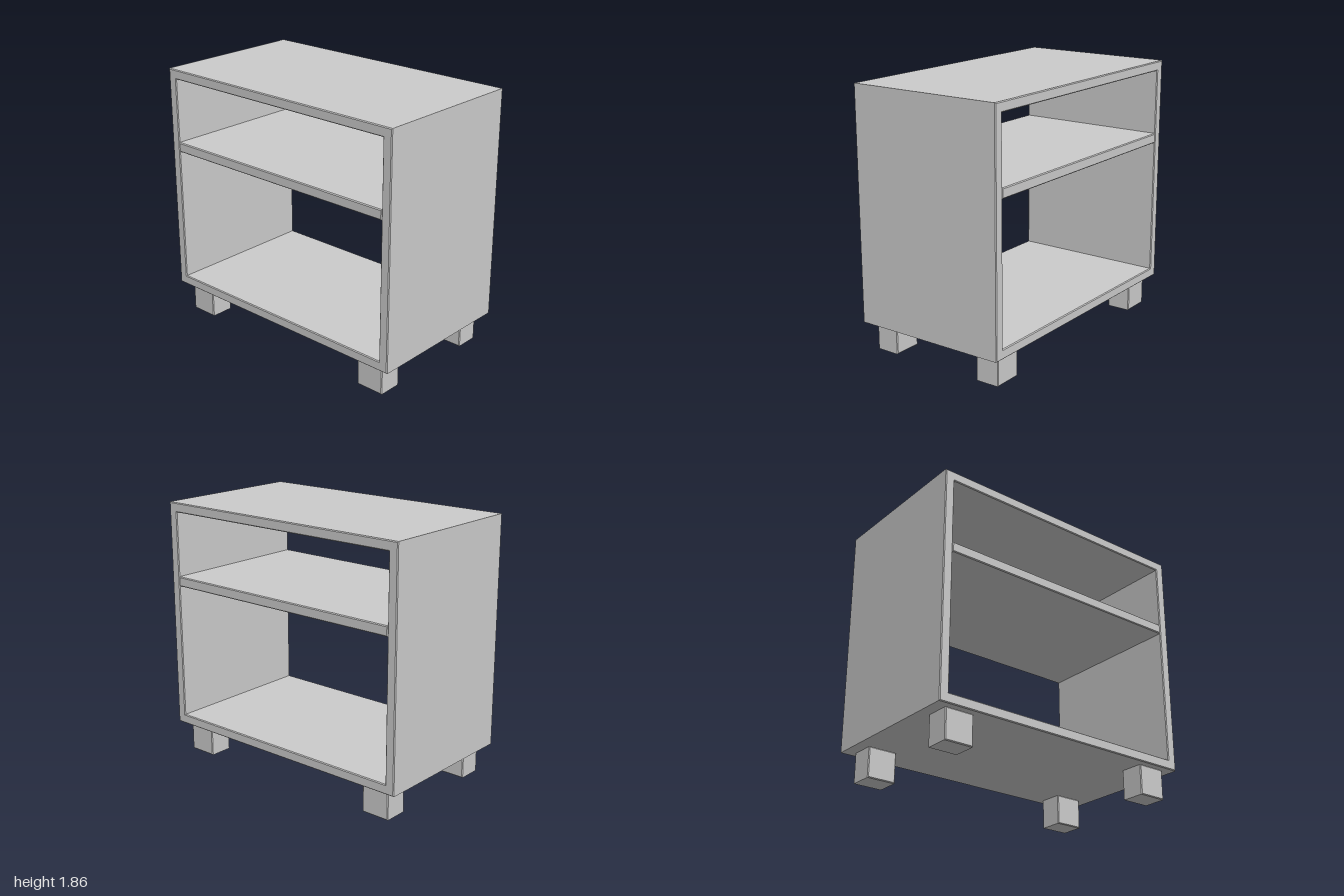
import * as THREE from 'three';

const BEVEL = 0.006;

// Closed rectangular outline in the xy plane
function rect(PathType, x0, y0, x1, y1) {
  return new PathType([[x0, y0], [x1, y0], [x1, y1], [x0, y1]].map(([x, y]) => new THREE.Vector2(x, y)));
}

// Extrude an outline to a total depth centred on z = 0, with a fine chamfer kept inside its size
function board(name, shape, depth) {
  const geometry = new THREE.ExtrudeGeometry(shape, {
    depth: depth - 2 * BEVEL,
    bevelEnabled: true,
    bevelSize: BEVEL,
    bevelThickness: BEVEL,
    bevelOffset: -BEVEL,
    bevelSegments: 1,
  });
  geometry.translate(0, 0, BEVEL - depth / 2);
  const material = new THREE.MeshStandardMaterial({ color: 0xcccccc, flatShading: true });
  const mesh = new THREE.Mesh(geometry, material);
  mesh.name = name;
  return mesh;
}

export function createModel() {
  const model = new THREE.Group();
  model.name = 'bedsideCabinet';
  const depth = 1.14;

  // Open box frame: top, bottom and both sides in one piece
  const outline = rect(THREE.Shape, -1, 0.212, 1, 1.858);
  outline.holes.push(rect(THREE.Path, -0.932, 0.28, 0.932, 1.79));
  model.add(board('cabinetFrame', outline, depth));

  // Shelf spanning the opening
  model.add(board('shelf', rect(THREE.Shape, -0.932, 1.258, 0.932, 1.328), depth));

  // Four block legs
  for (const x of [-1, 1]) {
    for (const z of [-1, 1]) {
      const side = x > 0 ? 'Left' : 'Right';
      const leg = board((z > 0 ? 'front' : 'back') + side + 'Leg', rect(THREE.Shape, -0.104, 0, 0.104, 0.213), 0.176);
      leg.position.set(x * 0.812, 0, z * 0.429);
      model.add(leg);
    }
  }
  return model;
}
